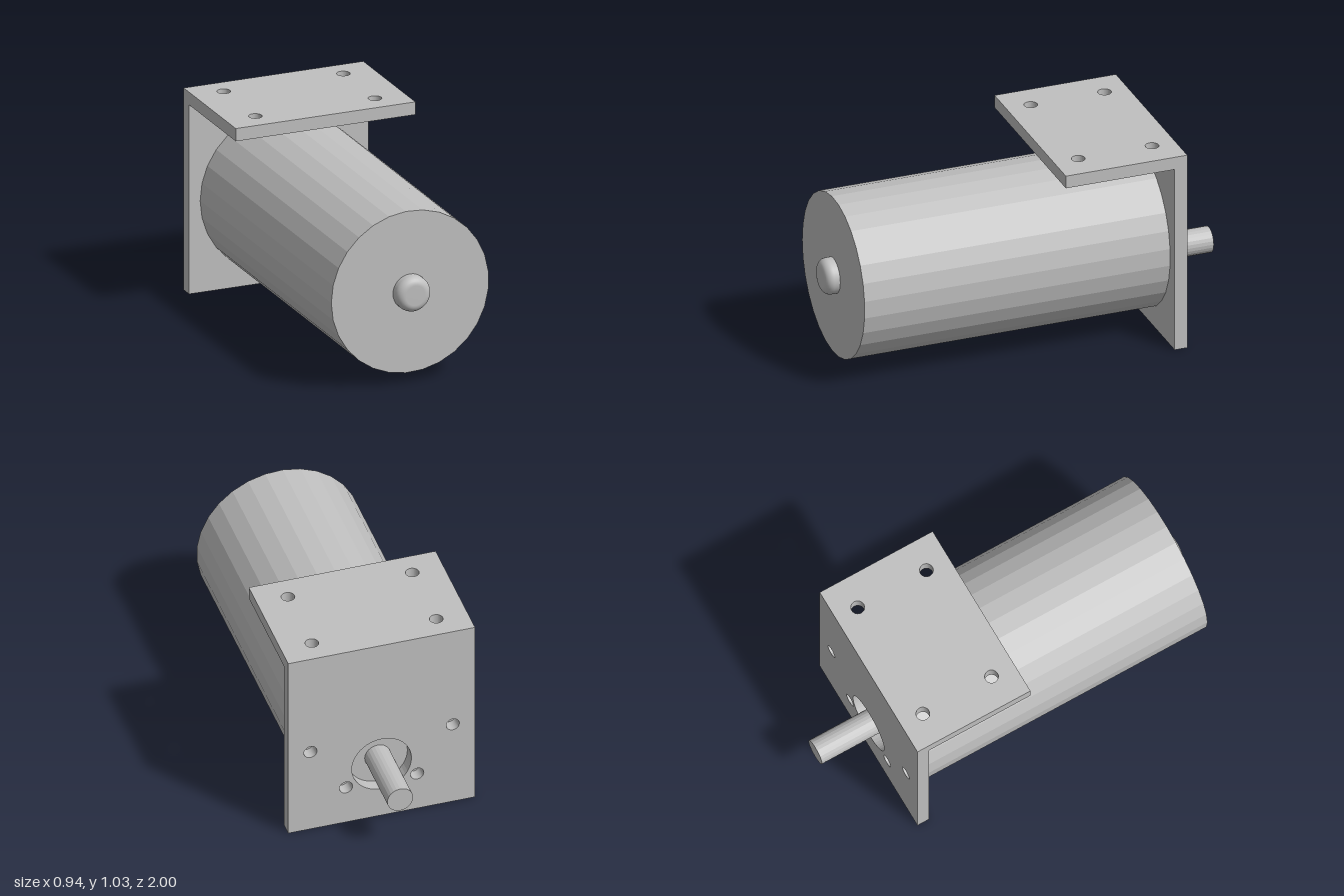
import * as THREE from 'three';

const AXIS_Y = 0.467;   // motor body centre height
const SHAFT_Y = 0.312;  // offset output shaft height

export function createModel() {
  const model = new THREE.Group();
  model.name = 'gearMotorOnBracket';
  const metal = new THREE.MeshStandardMaterial({ color: 0xc0c0c0 });
  metal.name = 'grey metal';
  const facetedMetal = metal.clone();
  facetedMetal.flatShading = true;

  const add = (name, geometry, material = metal) => {
    const mesh = new THREE.Mesh(geometry, material);
    mesh.name = name;
    model.add(mesh);
    return mesh;
  };

  // Rectangular plate with round through holes [x, y, radius], extruded along +z
  const plate = (x0, y0, x1, y1, depth, holes) => {
    const shape = new THREE.Shape([
      new THREE.Vector2(x0, y0), new THREE.Vector2(x1, y0),
      new THREE.Vector2(x1, y1), new THREE.Vector2(x0, y1),
    ]);
    for (const [x, y, r] of holes) {
      shape.holes.push(new THREE.Path().absarc(x, y, r, 0, Math.PI * 2, true));
    }
    return new THREE.ExtrudeGeometry(shape, { depth, bevelEnabled: false, curveSegments: 24 });
  };

  // Cylinder along z with its first vertex at -x
  const rod = (radius, z0, z1, y, sides) =>
    new THREE.CylinderGeometry(radius, radius, z1 - z0, sides, 1, false, -Math.PI / 2)
      .rotateX(Math.PI / 2)
      .translate(0, y, (z0 + z1) / 2);

  // Upright bracket plate: shaft opening and four motor screw holes
  const screwHoles = [];
  const topHoles = [];
  for (const side of [-1, 1]) {
    screwHoles.push([side * 0.358, AXIS_Y, 0.033], [side * 0.179, 0.21, 0.033]);
    topHoles.push([side * 0.313, 0.585, 0.033], [side * 0.313, 0.205, 0.033]);
  }
  add('bracketBackPlate',
    plate(-0.47, 0, 0.47, 1.03, 0.065, [[0, SHAFT_Y, 0.15], ...screwHoles]).translate(0, 0, -0.705));

  // Horizontal mounting flange, laid flat (shape y becomes -z)
  add('bracketTopPlate',
    plate(-0.47, 0.08, 0.47, 0.64, 0.065, topHoles.map(([x, y, r]) => [x, y, r]))
      .rotateX(-Math.PI / 2).translate(0, 0.965, 0));

  // Motor body and output shaft
  add('motorBody', rod(0.412, -0.64, 0.933, AXIS_Y, 29), facetedMetal);
  add('outputShaft', rod(0.065, -1, -0.64, SHAFT_Y, 24), facetedMetal);

  // Rounded bearing cap on the front end
  const fillet = 0.04;
  const profile = [new THREE.Vector2(0.09, 0)];
  for (let i = 0; i <= 8; i++) {
    const a = (i / 8) * Math.PI / 2;
    profile.push(new THREE.Vector2(0.09 - fillet + fillet * Math.cos(a), 0.067 - fillet + fillet * Math.sin(a)));
  }
  profile.push(new THREE.Vector2(0, 0.067));
  add('bearingCap',
    new THREE.LatheGeometry(profile, 32).rotateX(Math.PI / 2).translate(0, AXIS_Y, 0.933));

  return model;
}
